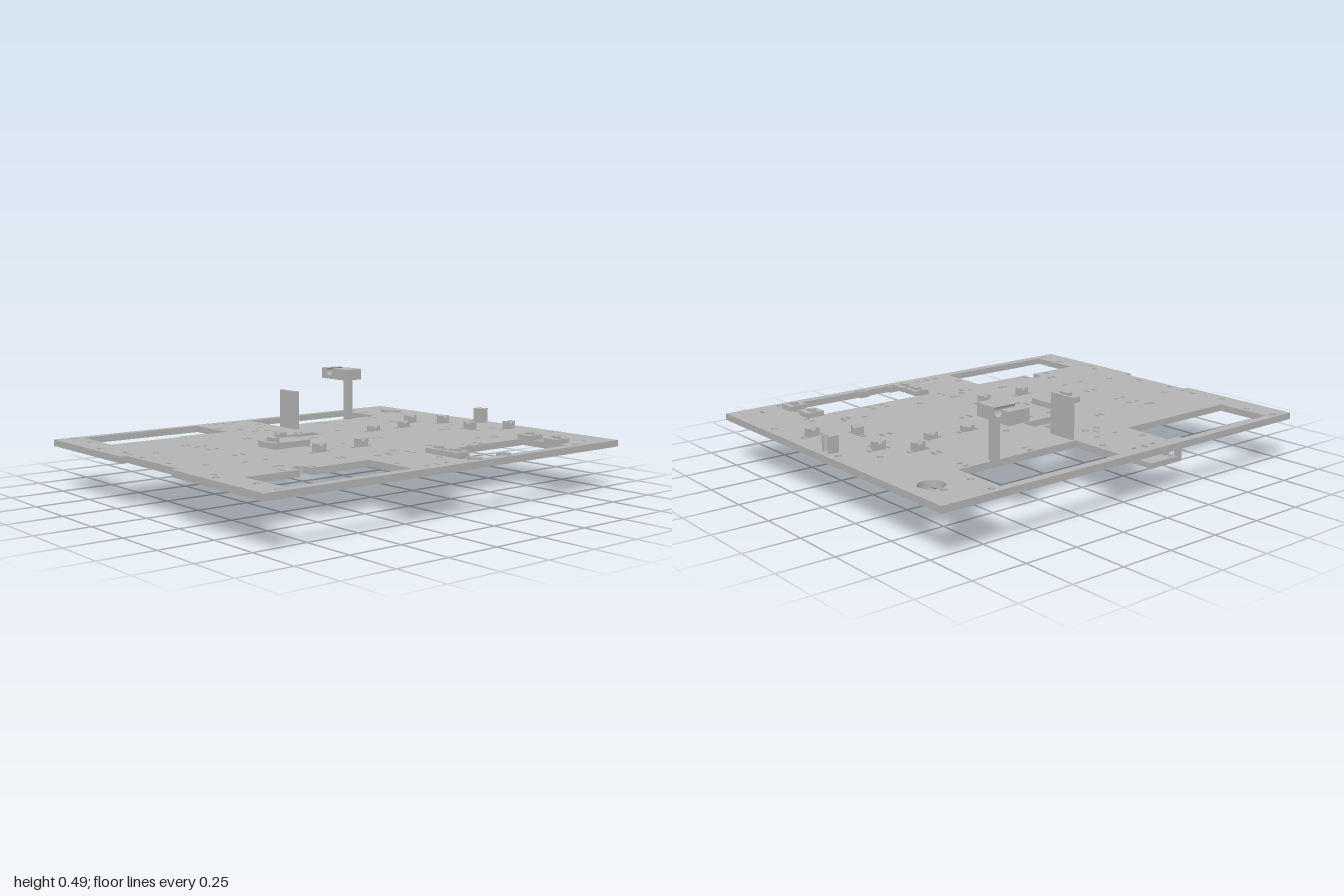
import * as THREE from 'three';

const grey = new THREE.MeshStandardMaterial({ color: 0xb4b4b4 });
grey.name = 'plain grey';
const TOP = 0.23, BOTTOM = 0.2;

// Rectangle or circle outline; the plan's second axis is z
function rect(x0, z0, x1, z1, Type = THREE.Shape) {
  const s = new Type();
  s.moveTo(x0, z0); s.lineTo(x1, z0); s.lineTo(x1, z1); s.lineTo(x0, z1); s.closePath();
  return s;
}
const slot = (x, z, w, d) => rect(x - w / 2, z - d / 2, x + w / 2, z + d / 2, THREE.Path);
function circle(x, z, r) {
  const p = new THREE.Path();
  p.absarc(x, z, r, 0, Math.PI * 2, true);
  return p;
}
const outline = pts => pts.map(([x, y]) => new THREE.Vector2(x, y));

// Slab cut from a plan outline
function slab(name, shape, y0, y1) {
  const g = new THREE.ExtrudeGeometry(shape, { depth: y1 - y0, bevelEnabled: false, curveSegments: 10 });
  g.rotateX(Math.PI / 2).translate(0, y1, 0);
  const m = new THREE.Mesh(g, grey);
  m.name = name;
  return m;
}
function box(name, x0, x1, y0, y1, z0, z1) {
  const m = new THREE.Mesh(new THREE.BoxGeometry(x1 - x0, y1 - y0, z1 - z0), grey);
  m.name = name;
  m.position.set((x0 + x1) / 2, (y0 + y1) / 2, (z0 + z1) / 2);
  return m;
}

// Hole positions as [x, z]
const roundHoles = [
  [-0.915, -0.79], [0.74, -0.79], [-0.905, -0.65], [-0.21, -0.65], [0.03, -0.65], [0.73, -0.65],
  [0.885, -0.685], [-0.957, -0.455], [-0.14, -0.44], [-0.07, -0.44], [-0.835, -0.19], [0.835, -0.19],
  [0.957, -0.07], [-0.835, 0.19], [0.835, 0.19], [-0.957, 0.455], [-0.14, 0.455], [-0.07, 0.44],
  [0.957, 0.455], [-0.905, 0.65], [-0.21, 0.65], [0.03, 0.65], [0.73, 0.65], [-0.915, 0.79], [0.74, 0.79],
  [0.21, 0.4], [0.195, -0.22],
];
const wideSlots = [
  [-0.15, -0.765], [-0.04, -0.765], [-0.15, -0.545], [-0.04, -0.545], [0.305, -0.505], [0.305, -0.465],
  [0.64, -0.505], [0.64, -0.465], [-0.94, -0.22], [-0.94, -0.13], [-0.61, -0.22], [-0.565, -0.22],
  [-0.61, -0.13], [-0.565, -0.13], [-0.15, -0.11], [-0.04, -0.11], [0.78, -0.035], [-0.15, 0.107],
  [-0.04, 0.107], [-0.67, 0.235], [-0.565, 0.235], [0.545, 0.37], [0.65, 0.37], [0.36, 0.46], [0.36, 0.5],
  [0.435, 0.46], [0.435, 0.5], [0.765, 0.46], [0.765, 0.5], [0.025, 0.46], [0.025, 0.5],
  [-0.15, 0.765], [-0.04, 0.765], [0.12, 0.803], [0.295, 0.803],
];
const longSlots = [
  [-0.096, -0.77], [-0.096, -0.48], [-0.096, 0.48], [-0.096, 0.77], [-0.67, 0.49], [-0.518, 0.49], [0.86, 0.74],
];
for (const z of [-0.29, 0.4])
  for (const x of [-0.93, -0.64, -0.61, -0.312, -0.283, -0.01, 0.017, 0.61, 0.64]) longSlots.push([x, z]);
for (const x of [-0.93, -0.61, -0.565, -0.214, -0.17, 0.17, 0.214, 0.61, 0.65]) longSlots.push([x, 0.07]);

// Cable clips: [x, z, height, turned]
const clips = [
  [0.325, -0.11, 0.025, 0], [0.522, -0.11, 0.03, 0], [0.78, -0.097, 0.038, 0], [0.662, -0.213, 0.038, 0],
  [-0.273, 0.225, 0.038, 0], [-0.037, 0.225, 0.038, 0], [0.888, 0.25, 0.038, 0],
  [-0.198, -0.155, 0.038, 1], [0.722, 0.15, 0.038, 1],
];

// Base plate with its windows, slots and notched edge
function basePlate() {
  const s = new THREE.Shape(outline([
    [-1, -0.825], [1, -0.825], [1, 0.825], [-1, 0.825], [-1, 0.2], [-0.97, 0.2], [-0.97, -0.2], [-1, -0.2],
  ]));
  s.holes.push(
    rect(-0.87, -0.785, -0.245, -0.525, THREE.Path),
    rect(0.065, -0.785, 0.695, -0.525, THREE.Path),
    rect(0.065, 0.52, 0.695, 0.78, THREE.Path),
    new THREE.Path(outline([
      [-0.87, 0.52], [-0.605, 0.52], [-0.605, 0.465], [-0.59, 0.465], [-0.585, 0.447], [-0.555, 0.447],
      [-0.545, 0.465], [-0.545, 0.52], [-0.245, 0.52], [-0.245, 0.78], [-0.87, 0.78],
    ])),
    rect(-0.16, -0.252, 0.06, -0.175, THREE.Path),
    circle(0.885, -0.61, 0.056),
    slot(-0.352, -0.045, 0.026, 0.02), slot(-0.352, 0.042, 0.026, 0.02),
  );
  for (const [x, z] of roundHoles) s.holes.push(circle(x, z, 0.015));
  for (const [x, z] of wideSlots) s.holes.push(slot(x, z, 0.027, 0.016));
  for (const [x, z] of longSlots) s.holes.push(slot(x, z, 0.016, 0.036));
  for (const [x, z, , turned] of clips)
    for (const d of [-0.046, 0.046])
      s.holes.push(turned ? slot(x, z + d, 0.03, 0.016) : slot(x + d, z, 0.016, 0.03));
  return slab('basePlate', s, BOTTOM, TOP);
}

// U-shaped clip with a shallow valley between two prongs
function clip([x, z, h, turned]) {
  const w = 0.028;
  const g = new THREE.ExtrudeGeometry(new THREE.Shape(outline([
    [-w, 0], [w, 0], [w, h], [w * 0.5, h], [w * 0.3, h * 0.7], [-w * 0.3, h * 0.7], [-w * 0.5, h], [-w, h],
  ])), { depth: 0.03, bevelEnabled: false });
  g.translate(0, 0, -0.015);
  const m = new THREE.Mesh(g, grey);
  m.name = 'cableClip';
  m.position.set(x, TOP, z);
  if (turned) m.rotation.y = Math.PI / 2;
  return m;
}

// Raised pad with two tie slots and a low saddle between them
function tiePad(x0, x1, z0, z1) {
  const g = new THREE.Group();
  g.name = 'tiePad';
  const cx = (x0 + x1) / 2, s = rect(x0, z0, x1, z1);
  for (const z of [z0 + 0.013, z1 - 0.013]) s.holes.push(slot(cx, z, 0.028, 0.014));
  g.add(slab('padBody', s, TOP, 0.252), box('padSaddle', cx - 0.015, cx + 0.015, 0.252, 0.262, z0 + 0.025, z1 - 0.025));
  return g;
}

// Tall post carrying an arm with a round groove
function tallBracket() {
  const g = new THREE.Group();
  g.name = 'tallBracket';
  const s = new THREE.Shape();
  s.moveTo(0.52, 0.43); s.lineTo(0.715, 0.43); s.lineTo(0.715, 0.485); s.lineTo(0.672, 0.485);
  s.absarc(0.65, 0.472, 0.022, 0.63, Math.PI - 0.63, true);
  s.lineTo(0.52, 0.485); s.closePath();
  const arm = new THREE.ExtrudeGeometry(s, { depth: 0.105, bevelEnabled: false });
  arm.rotateY(Math.PI / 2).translate(0.49, 0, 0);
  const m = new THREE.Mesh(arm, grey);
  m.name = 'groovedArm';
  g.add(m, box('post', 0.49, 0.525, TOP, 0.485, -0.535, -0.505));
  return g;
}

// C-shaped hanger under the rear window
function hanger() {
  const g = new THREE.Group();
  g.name = 'hanger';
  const s = rect(-0.37, -0.7, -0.2, -0.595);
  for (const z of [-0.69, -0.607]) s.holes.push(slot(-0.343, z, 0.026, 0.014));
  g.add(
    box('upperBar', -0.39, -0.2, 0.175, BOTTOM, -0.715, -0.695),
    box('upright', -0.39, -0.365, 0.095, 0.175, -0.715, -0.695),
    box('lowerBar', -0.365, -0.2, 0.095, 0.12, -0.715, -0.7),
    slab('shelf', s, 0.095, 0.12),
    box('shelfSaddle', -0.358, -0.332, 0.12, 0.138, -0.672, -0.625),
  );
  return g;
}

export function createModel() {
  const model = new THREE.Group();
  model.name = 'mountingPlate';
  model.add(basePlate(), tallBracket(), hanger());
  for (const c of clips) model.add(clip(c));

  // Pads around the front window
  model.add(tiePad(0.065, 0.145, 0.53, 0.615), tiePad(0.065, 0.145, 0.63, 0.715));
  model.add(tiePad(0.67, 0.755, 0.508, 0.585), tiePad(0.67, 0.755, 0.665, 0.74));

  // Small loops on the front rim
  for (const x of [0.12, 0.295]) {
    const s = rect(x - 0.024, 0.747, x + 0.024, 0.79);
    s.holes.push(slot(x, 0.766, 0.028, 0.018));
    model.add(slab('rimLoop', s, 0.205, 0.236));
  }

  // Long pad left of the centre
  const pad = rect(-0.39, -0.065, -0.197, 0.06);
  pad.holes.push(slot(-0.352, -0.045, 0.026, 0.02), slot(-0.352, 0.042, 0.026, 0.02));
  model.add(slab('longPad', pad, TOP, 0.257), box('longPadSaddle', -0.368, -0.34, 0.257, 0.275, -0.03, 0.027));

  // Edge block with a round bite
  const edge = new THREE.Shape();
  edge.moveTo(0.925, -0.026); edge.lineTo(0.975, -0.026); edge.lineTo(0.975, -0.018);
  edge.absarc(0.975, 0, 0.018, -Math.PI / 2, Math.PI / 2, true);
  edge.lineTo(0.975, 0.026); edge.lineTo(0.925, 0.026); edge.closePath();
  model.add(slab('edgeBlock', edge, TOP, 0.302));

  // Standing wall and the leg below with its thin foot
  model.add(box('standingWall', 0.062, 0.076, TOP, 0.415, -0.51, -0.375));
  model.add(box('leg', 0.595, 0.615, 0, BOTTOM, -0.175, -0.152));
  model.add(box('legLip', 0.57, 0.595, 0, 0.008, -0.175, -0.152));
  model.add(box('foot', 0.57, 0.615, 0.031, 0.036, -0.152, -0.095));
  return model;
}
